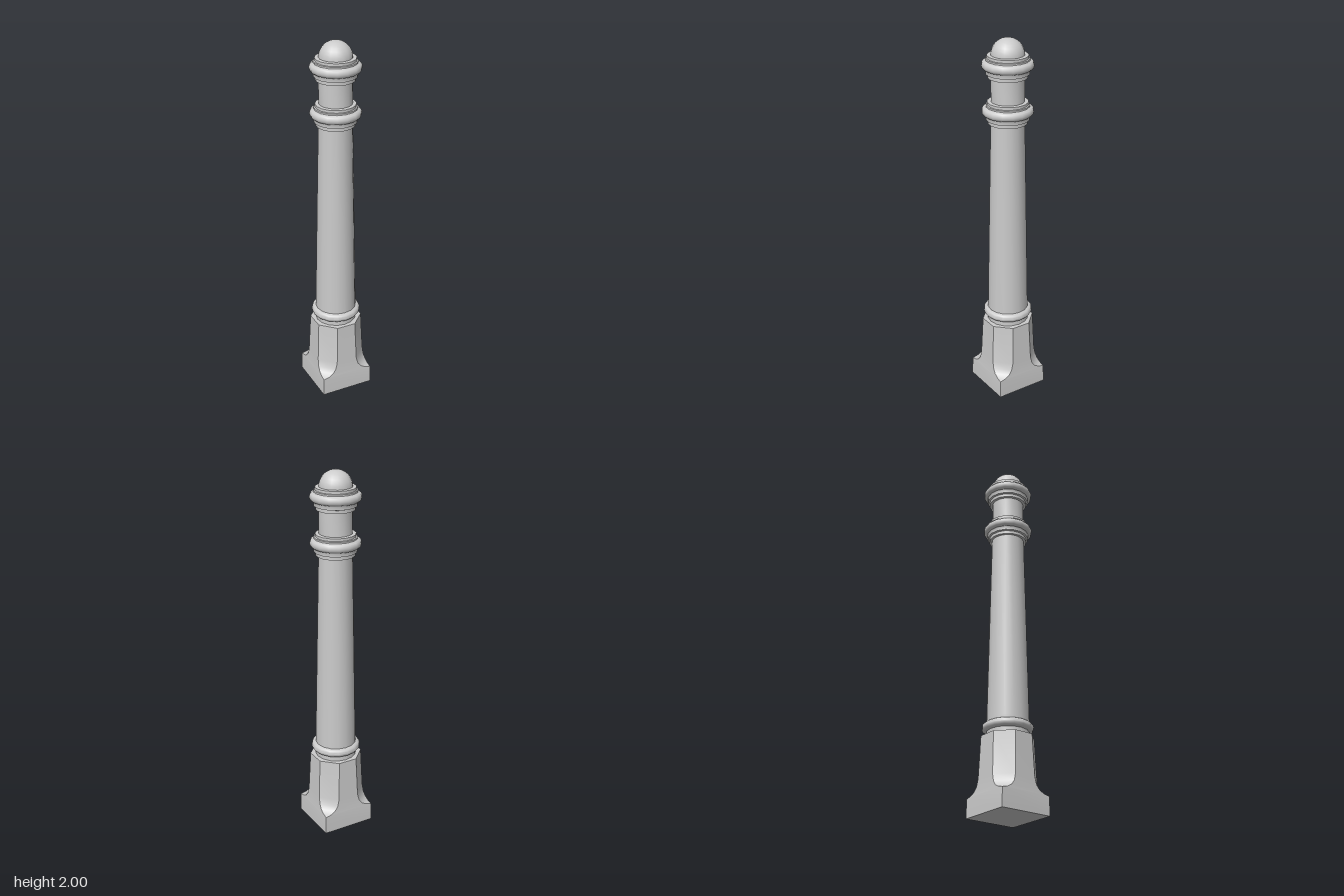
import * as THREE from 'three';
import { toCreasedNormals } from 'three/addons/utils/BufferGeometryUtils.js';

const SIDES = 16;
const CREASE = 0.6;
const material = new THREE.MeshStandardMaterial({ color: 0xcccccc });

function part(name, geometry) {
  const mesh = new THREE.Mesh(toCreasedNormals(geometry, CREASE), material);
  mesh.name = name;
  return mesh;
}

// Turned part from [radius, y] pairs, bottom to top
function turned(name, profile) {
  const points = profile.map(([r, y]) => new THREE.Vector2(r, y));
  return part(name, new THREE.LatheGeometry(points, SIDES));
}

// Rounded bead profile between two heights
function bead(inner, outer, y0, y1, steps = 8) {
  return Array.from({ length: steps + 1 }, (_, i) => {
    const a = (i / steps - 0.5) * Math.PI;
    return [inner + (outer - inner) * Math.cos(a), (y0 + y1) / 2 + ((y1 - y0) / 2) * Math.sin(a)];
  });
}

// Stepped collar with a bead in the middle
function collar(name, y, inner) {
  return turned(name, [
    [inner, y], [0.103, y], [0.103, y + 0.017], [0.113, y + 0.02], [0.113, y + 0.038],
    ...bead(0.115, 0.134, y + 0.042, y + 0.088),
    [0.113, y + 0.09], [0.113, y + 0.098], [0.106, y + 0.1], [0.106, y + 0.114], [inner - 0.005, y + 0.116],
  ]);
}

// Square pedestal whose corners are cut by flared chamfers
function pedestalGeometry() {
  // [height, half width, half width of the flat face]
  const levels = [
    [0, 0.148, 0.148], [0.1, 0.146, 0.146], [0.108, 0.145, 0.112], [0.122, 0.144, 0.088],
    [0.145, 0.142, 0.07], [0.185, 0.14, 0.06], [0.41, 0.131, 0.053],
  ];
  const rings = levels.map(([y, h, c]) =>
    [[h, -c], [h, c], [c, h], [-c, h], [-h, c], [-h, -c], [-c, -h], [c, -h]]
      .map(([x, z]) => new THREE.Vector3(x, y, z)));
  const positions = [];
  const tri = (a, b, c) => {
    const area = b.clone().sub(a).cross(c.clone().sub(a)).length();
    if (area > 1e-9) for (const p of [a, b, c]) positions.push(p.x, p.y, p.z);
  };
  const top = rings[rings.length - 1];
  for (let i = 0; i < 8; i++) {
    const j = (i + 1) % 8;
    for (let k = 0; k < rings.length - 1; k++) {
      tri(rings[k][i], rings[k + 1][i], rings[k + 1][j]);
      tri(rings[k][i], rings[k + 1][j], rings[k][j]);
    }
    tri(new THREE.Vector3(0, 0.41, 0), top[j], top[i]);
    tri(new THREE.Vector3(0, 0, 0), rings[0][i], rings[0][j]);
  }
  const geometry = new THREE.BufferGeometry();
  geometry.setAttribute('position', new THREE.Float32BufferAttribute(positions, 3));
  return geometry;
}

export function createModel() {
  const group = new THREE.Group();
  group.name = 'bollard';

  group.add(part('pedestal', pedestalGeometry()));
  group.add(turned('shaft', [[0.112, 0.41], [0.111, 0.5], [0.089, 1.565]]));
  group.add(turned('footRing', [[0.108, 0.435], ...bead(0.112, 0.134, 0.438, 0.484), [0.108, 0.488]]));
  group.add(collar('lowerCollar', 1.56, 0.088));
  group.add(turned('neck', [[0.087, 1.67], [0.087, 1.81]]));
  group.add(collar('upperCollar', 1.8, 0.086));

  // Domed cap
  const dome = [[0.087, 1.9]];
  for (let i = 0; i <= 8; i++) {
    const a = (i / 8) * Math.PI / 2;
    dome.push([0.087 * Math.cos(a), 1.914 + 0.086 * Math.sin(a)]);
  }
  group.add(turned('domeCap', dome));

  return group;
}
